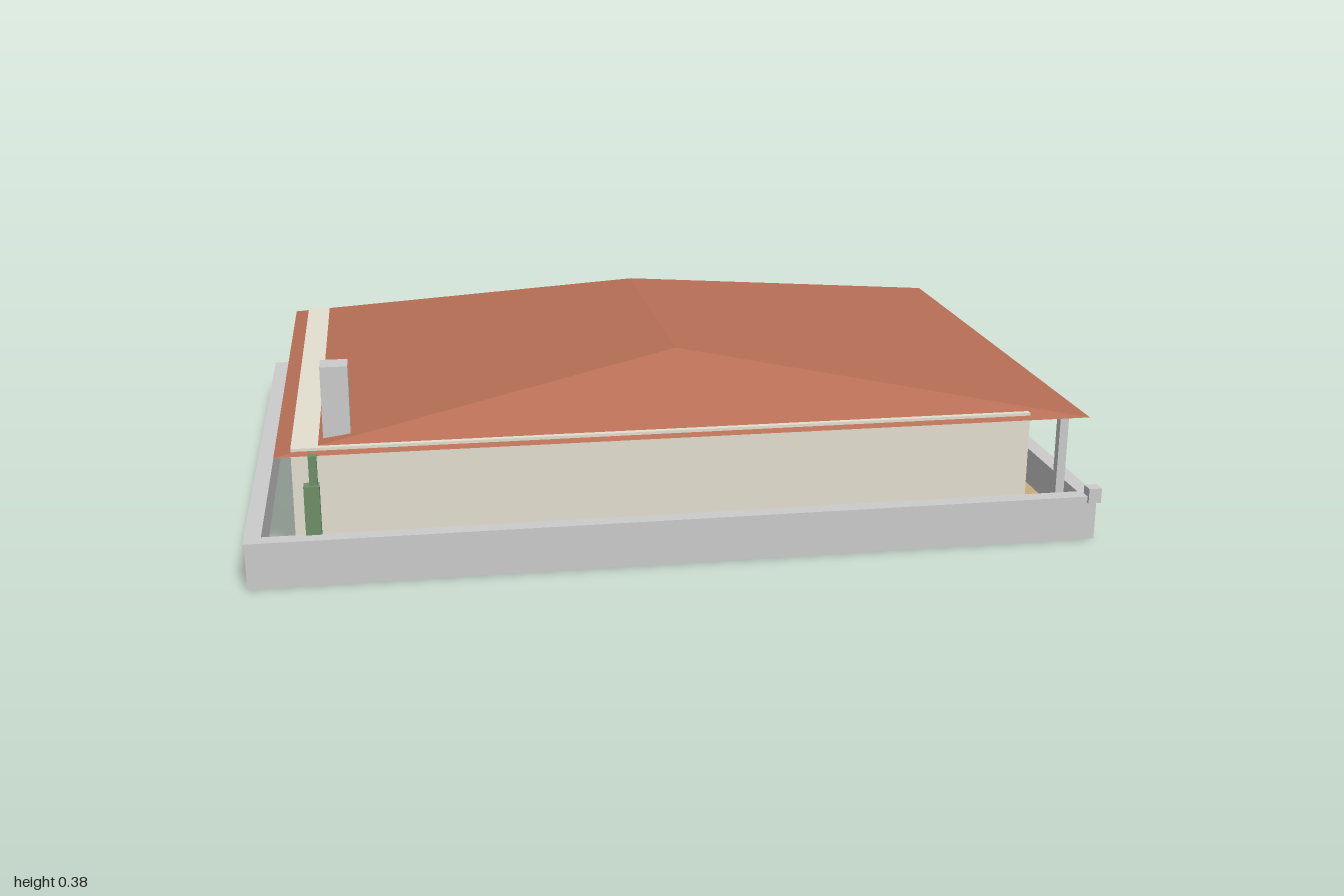
import * as THREE from 'three';

const material = (color, side = THREE.FrontSide) =>
  new THREE.MeshStandardMaterial({ color, side, flatShading: true });

const MAT = {
  wall: material(0xe3e0d0),
  grey: material(0xcccccc),
  roof: material(0xb86f56, THREE.DoubleSide),
  glass: material(0x3f5568),
  door: material(0xa8744f),
  porch: material(0xc9ae78),
  plant: material(0x6f8f68),
};

// Box given by its minimum and maximum on each axis
function box(name, mat, [x0, x1], [y0, y1], [z0, z1]) {
  const mesh = new THREE.Mesh(new THREE.BoxGeometry(x1 - x0, y1 - y0, z1 - z0), mat);
  mesh.position.set((x0 + x1) / 2, (y0 + y1) / 2, (z0 + z1) / 2);
  mesh.name = name;
  return mesh;
}
const around = (c, size) => [c - size / 2, c + size / 2];

// Hipped roof: four eave corners and a ridge running along z
function hipRoof([x0, x1], [y0, y1], [z0, z1], ridgeX, [r0, r1]) {
  const points = [
    x0, y0, z0, x1, y0, z0, x1, y0, z1, x0, y0, z1,
    ridgeX, y1, r0, ridgeX, y1, r1,
  ];
  const faces = [
    0, 4, 1, 3, 2, 5,           // hip ends
    1, 4, 5, 1, 5, 2,           // front slope
    0, 3, 5, 0, 5, 4,           // back slope
    0, 1, 2, 0, 2, 3,           // underside
  ];
  const geo = new THREE.BufferGeometry();
  geo.setAttribute('position', new THREE.Float32BufferAttribute(points, 3));
  geo.setIndex(faces);
  const flat = geo.toNonIndexed();
  flat.computeVertexNormals();
  const mesh = new THREE.Mesh(flat, MAT.roof);
  mesh.name = 'roof';
  return mesh;
}

// A boundary wall run with a slightly wider coping on top
function boundaryWall(name, x, z) {
  const group = new THREE.Group();
  group.name = name;
  const o = 0.003;
  group.add(
    box('boundaryWallBody', MAT.grey, x, [0, 0.08], z),
    box('boundaryWallCoping', MAT.grey, [x[0] - o, x[1] + o], [0.08, 0.088], [z[0] - o, z[1] + o]),
  );
  return group;
}

export function createModel() {
  const model = new THREE.Group();
  model.name = 'house';
  // The door side of the house looks along its local +x
  const plot = new THREE.Group();
  plot.name = 'plot';
  plot.rotation.y = -0.573;
  model.add(plot);

  // House body, its top showing a little through the low eaves
  const front = 0.672;
  plot.add(box('houseWalls', MAT.wall, [-0.72, front], [0, 0.239], [-0.515, 0.515]));
  plot.add(hipRoof([-0.75, 0.788], [0.228, 0.336], [-0.537, 0.527], 0.02, [-0.302, 0.296]));
  plot.add(box('chimney', MAT.grey, around(-0.638, 0.05), [0.2, 0.375], around(0.441, 0.05)));

  // Porch slab and corner columns
  plot.add(box('porchFloor', MAT.porch, [front, 0.79], [0, 0.012], [-0.515, 0.515]));
  for (const z of [-0.497, 0.487]) {
    plot.add(box('porchColumn', MAT.grey, around(0.751, 0.017), [0.012, 0.228], around(z, 0.017)));
  }

  // Windows and door
  for (const z of [-0.256, -0.002, 0.252]) {
    plot.add(box('window', MAT.glass, [front - 0.01, front + 0.005], [0.088, 0.17], around(z, 0.083)));
  }
  plot.add(box('door', MAT.door, [front - 0.01, front + 0.006], [0.012, 0.165], [-0.118, -0.045]));

  // Boundary walls, with a gate opening at the front
  const X = [-0.807, 0.79], Z = [-0.588, 0.581], t = 0.025;
  const gate = [-0.164, 0.008];
  plot.add(
    boundaryWall('backBoundaryWall', [X[0], X[0] + t], Z),
    boundaryWall('leftBoundaryWall', [X[0] + t, X[1]], [Z[0], Z[0] + t]),
    boundaryWall('rightBoundaryWall', [X[0] + t, X[1]], [Z[1] - t, Z[1]]),
    boundaryWall('frontBoundaryWallLeft', [X[1] - t, X[1]], [Z[0] + t, gate[0]]),
    boundaryWall('frontBoundaryWallRight', [X[1] - t, X[1]], [gate[1], Z[1] - t]),
  );
  // Block caps at the front corners and beside the gate
  for (const z of [-0.59, gate[0], gate[1], 0.577]) {
    plot.add(box('postCap', MAT.grey, around(0.783, 0.025), [0.076, 0.105], around(z, 0.025)));
  }

  // Stepped shrub beside the house
  plot.add(
    box('shrubBase', MAT.plant, around(-0.685, 0.028), [0, 0.18], around(0.545, 0.024)),
    box('shrubTop', MAT.plant, around(-0.681, 0.015), [0.18, 0.235], around(0.543, 0.015)),
  );
  return model;
}
